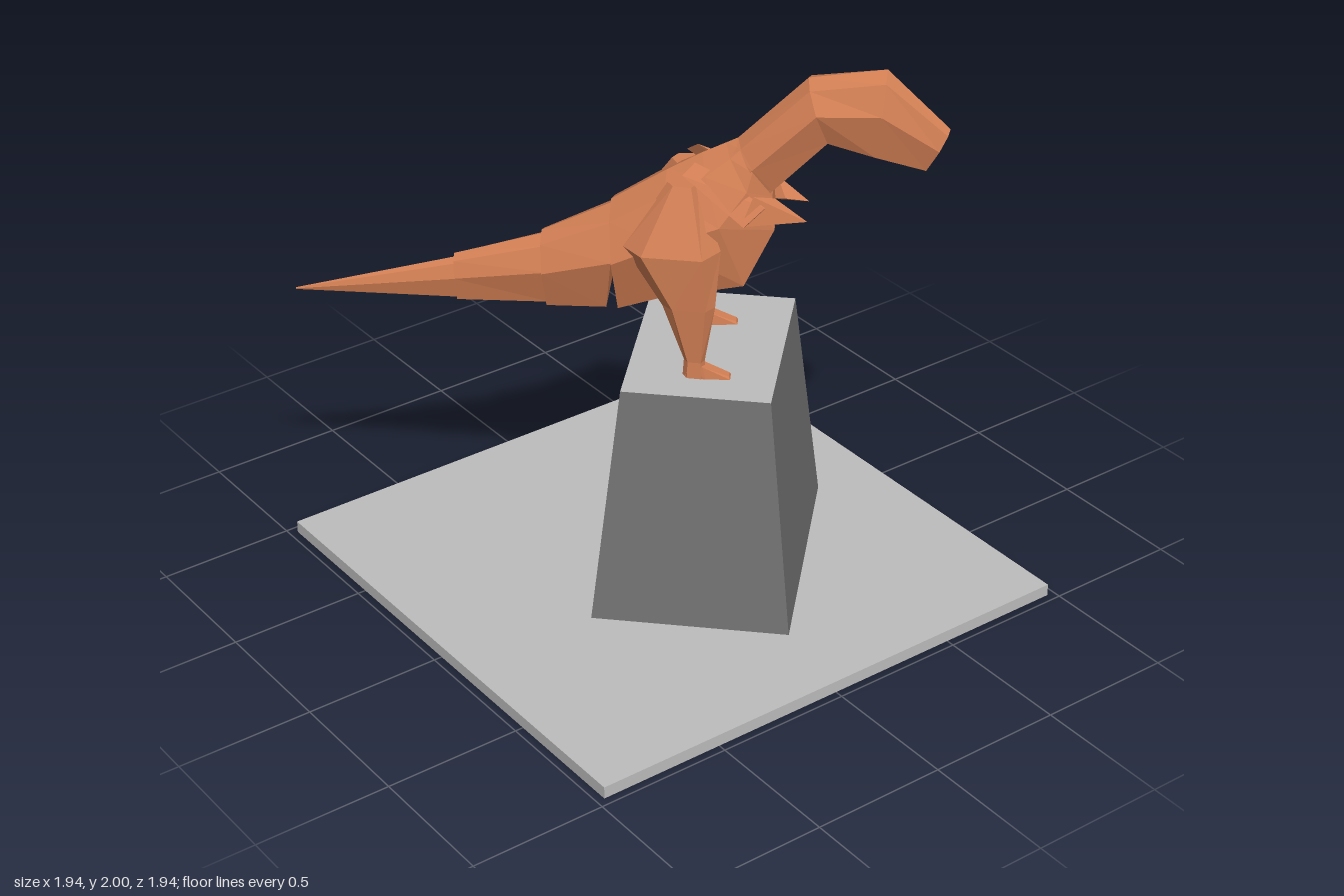
import * as THREE from 'three';
import { ConvexGeometry } from 'three/addons/geometries/ConvexGeometry.js';

// Closed faceted skin through rings of [x, y, z]; rings turn counter-clockwise seen from the far end.
function loft(rings, caps = true) {
  const pos = [];
  const tri = (a, b, c) => pos.push(...a, ...b, ...c);
  const n = rings[0].length;
  for (let i = 0; i < rings.length - 1; i++) {
    for (let j = 0; j < n; j++) {
      const k = (j + 1) % n;
      tri(rings[i][j], rings[i][k], rings[i + 1][k]);
      tri(rings[i][j], rings[i + 1][k], rings[i + 1][j]);
    }
  }
  const last = rings[rings.length - 1];
  for (let j = 1; caps && j < n - 1; j++) {
    tri(rings[0][0], rings[0][j + 1], rings[0][j]);
    tri(last[0], last[j], last[j + 1]);
  }
  const g = new THREE.BufferGeometry();
  g.setAttribute('position', new THREE.Float32BufferAttribute(pos, 3));
  g.computeVertexNormals();
  return g;
}

// Seven-sided body section; the top and bottom may lie at different z, so it can lean.
function bodyRing([zTop, yTop, zLow, yLow, w]) {
  const outline = [[0, 0], [-0.6, 0.1], [-1, 0.45], [-0.6, 1], [0.6, 1], [1, 0.45], [0.6, 0.1]];
  return outline.map(([x, t]) => [
    x * w, THREE.MathUtils.lerp(yTop, yLow, t), THREE.MathUtils.lerp(zTop, zLow, t),
  ]);
}

// Six-sided leg section at height y.
function legRing([y, z, hz, x, hx]) {
  const outline = [[1, 0.1], [0.65, 1], [-0.6, 0.85], [-1, 0], [-0.6, -1], [0.65, -1]];
  return outline.map(([a, b]) => [x + b * hx, y, z + a * hz]);
}

const mirrorRings = (rings) => rings.map((r) => r.map(([x, y, z]) => [-x, y, z]).reverse());

export function createModel() {
  const model = new THREE.Group();
  const skin = new THREE.MeshStandardMaterial({ color: 0xd27f54 });
  const lightStone = new THREE.MeshStandardMaterial({ color: 0xbdbdbd });
  const darkStone = new THREE.MeshStandardMaterial({ color: 0x727272 });
  skin.name = 'terracotta skin';
  lightStone.name = 'light stone';
  darkStone.name = 'dark stone';
  skin.flatShading = true;

  const add = (parent, name, geometry, material) => {
    const mesh = new THREE.Mesh(geometry, material);
    mesh.name = name;
    parent.add(mesh);
    return mesh;
  };

  // Ground slab
  add(model, 'slab', new THREE.BoxGeometry(1.94, 0.045, 1.94), lightStone).position.y = 0.0225;

  // Tapered pedestal with a light top
  const pedestal = new THREE.Group();
  pedestal.name = 'pedestal';
  pedestal.position.set(0.13, 0, 0.077);
  pedestal.rotation.y = Math.PI / 4;
  const rect = (hx, hz, y) => [[hx, y, hz], [hx, y, -hz], [-hx, y, -hz], [-hx, y, hz]];
  add(pedestal, 'pedestalSides', loft([rect(0.479, 0.348, 0.045), rect(0.364, 0.258, 0.91)], false), darkStone);
  const top = add(pedestal, 'pedestalTop', new THREE.PlaneGeometry(0.728, 0.516), lightStone);
  top.rotation.x = -Math.PI / 2;
  top.position.y = 0.91;
  model.add(pedestal);

  // Dinosaur, facing its own +z and turned on the pedestal
  const dinosaur = new THREE.Group();
  dinosaur.name = 'dinosaur';
  dinosaur.rotation.y = 0.849;
  model.add(dinosaur);

  // Trunk from hips to chest: [z top, y top, z bottom, y bottom, half width]
  add(dinosaur, 'trunk', loft([
    [-0.19, 1.48, -0.16, 1.11, 0.165],
    [0, 1.6, 0, 1.17, 0.19],
    [0.12, 1.67, 0.27, 1.215, 0.16],
    [0.2, 1.71, 0.37, 1.42, 0.11],
    [0.24, 1.73, 0.36, 1.54, 0.09],
  ].map(bodyRing)), skin);

  // Neck and head
  add(dinosaur, 'neckAndHead', loft([
    [0.2, 1.705, 0.33, 1.52, 0.085],
    [0.24, 1.73, 0.36, 1.56, 0.09],
    [0.47, 1.96, 0.54, 1.75, 0.105],
    [0.73, 2.0, 0.7, 1.7, 0.09],
    [0.945, 1.79, 0.87, 1.645, 0.045],
  ].map(bodyRing)), skin);

  // Overlapping tail pieces, each a little narrower than the one before
  const tail = {
    tailRoot: [[-0.43, 1.35, -0.41, 1.09, 0.105], [-0.16, 1.48, -0.2, 1.11, 0.155]],
    tailMiddle: [[-0.735, 1.245, -0.725, 1.08, 0.05], [-0.4, 1.345, -0.4, 1.1, 0.095]],
    tailTip: [[-1.295, 1.083, -1.295, 1.077, 0.003], [-0.7, 1.24, -0.7, 1.088, 0.046]],
  };
  for (const [name, rings] of Object.entries(tail)) add(dinosaur, name, loft(rings.map(bodyRing)), skin);

  // Legs, from the sole up: [y, z, half z, x, half x]
  const leg = [
    [0.91, 0.11, 0.04, 0.185, 0.03],
    [0.97, 0.11, 0.036, 0.183, 0.027],
    [1.18, 0.09, 0.09, 0.185, 0.042],
    [1.38, 0.03, 0.165, 0.15, 0.088],
    [1.6, 0.06, 0.05, 0.09, 0.04],
  ].map(legRing);
  // Feet: wedges that slope down to the toes
  const foot = [
    [[0.165, 0.91, 0.08], [0.165, 0.96, 0.09], [0.205, 0.96, 0.09], [0.205, 0.91, 0.08]].reverse(),
    [[0.16, 0.91, 0.15], [0.165, 0.955, 0.14], [0.21, 0.955, 0.14], [0.215, 0.91, 0.15]].reverse(),
    [[0.17, 0.91, 0.235], [0.175, 0.92, 0.23], [0.205, 0.92, 0.23], [0.21, 0.91, 0.235]].reverse(),
  ];
  // Arms: shoulder blade to elbow, then a wedge to the hand
  const upperArm = [
    [0.07, 1.665, 0.1], [0.1, 1.63, 0.06], [0.08, 1.63, 0.18],
    [0.155, 1.47, 0.27], [0.11, 1.46, 0.29], [0.12, 1.53, 0.34], [0.07, 1.56, 0.28],
  ];
  const foreArm = [
    [0.15, 1.47, 0.26], [0.09, 1.46, 0.28], [0.12, 1.57, 0.3],
    [0.085, 1.55, 0.37], [0.05, 1.48, 0.4], [0.075, 1.46, 0.48],
  ];
  for (const [side, s] of [['left', 1], ['right', -1]]) {
    const skinOf = (rings) => loft(s > 0 ? rings : mirrorRings(rings));
    const hull = (pts) => new ConvexGeometry(pts.map(([x, y, z]) => new THREE.Vector3(s * x, y, z)));
    add(dinosaur, side + 'Leg', skinOf(leg), skin);
    add(dinosaur, side + 'Foot', skinOf(foot), skin);
    add(dinosaur, side + 'UpperArm', hull(upperArm), skin);
    add(dinosaur, side + 'Forearm', hull(foreArm), skin);
  }
  return model;
}
